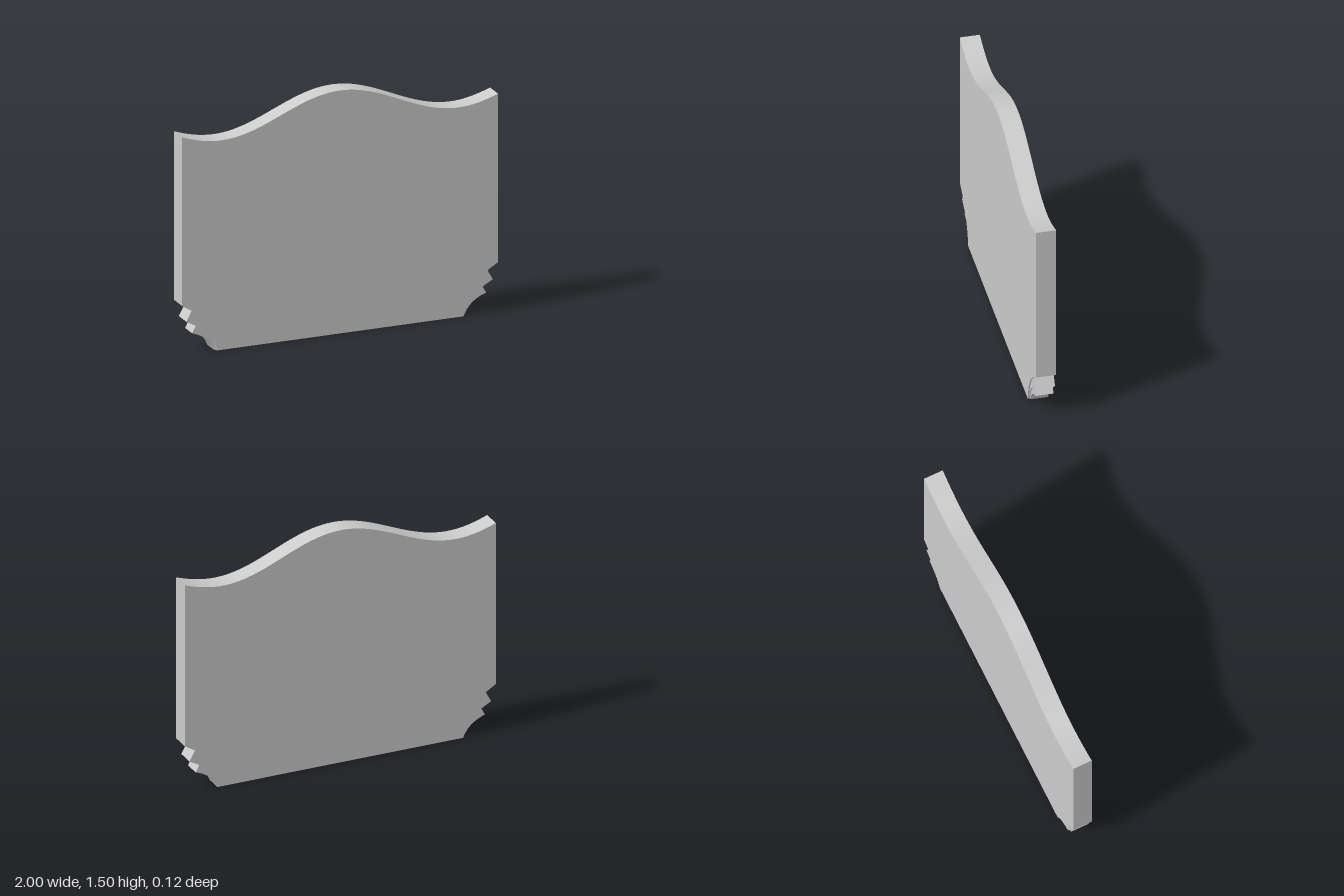
import * as THREE from 'three';
import { toCreasedNormals } from 'three/addons/utils/BufferGeometryUtils.js';

const BACK = -0.06;
const material = new THREE.MeshStandardMaterial({ color: 0xcccccc });

// Corner curves on the +x side, each running from its outer end down to the base
const curve = (...p) => new THREE.QuadraticBezierCurve(
  ...p.map(([x, y]) => new THREE.Vector2(x, y))).getPoints(16);
const innerArc = curve([0.935, 0.265], [0.8, 0.16], [0.78, 0]);
const middleArc = curve([0.907, 0.166], [0.81, 0.11], [0.783, 0]);
const outerArc = curve([0.93, 0.122], [0.825, 0.09], [0.79, 0]);

const mirror = (points) => points.map((p) => new THREE.Vector2(-p.x, p.y));

// Flat slab from the back plane to the given front plane
function slab(name, points, front) {
  const geometry = new THREE.ExtrudeGeometry(new THREE.Shape(points), {
    depth: front - BACK, bevelEnabled: false,
  });
  geometry.translate(0, 0, BACK);
  const mesh = new THREE.Mesh(toCreasedNormals(geometry, 0.35), material);
  mesh.name = name;
  return mesh;
}

export function createModel() {
  const group = new THREE.Group();
  group.name = 'headboard';

  // Main panel: wavy top edge, straight sides, scooped lower corners
  const top = [];
  for (let i = 0; i <= 64; i++) {
    const x = 1 - i / 32;
    top.push(new THREE.Vector2(x, 1.397 + 0.103 * Math.cos((Math.PI * x) / 0.75)));
  }
  const rightSide = [...innerArc].reverse().concat(new THREE.Vector2(1, 0.305));
  const leftSide = mirror(rightSide).reverse();
  group.add(slab('panel', [...rightSide, ...top, ...leftSide], 0.06));

  // Two stepped, leaf-like layers in each lower corner
  const upperLeaf = [
    ...innerArc, ...[...middleArc].reverse(), new THREE.Vector2(0.97, 0.201),
  ];
  const lowerLeaf = [...middleArc, ...[...outerArc].reverse()];
  for (const [side, place] of [['left', (p) => p], ['right', mirror]]) {
    group.add(slab(side + 'UpperLeaf', place(upperLeaf), 0.053));
    group.add(slab(side + 'LowerLeaf', place(lowerLeaf), 0.047));
  }
  return group;
}
